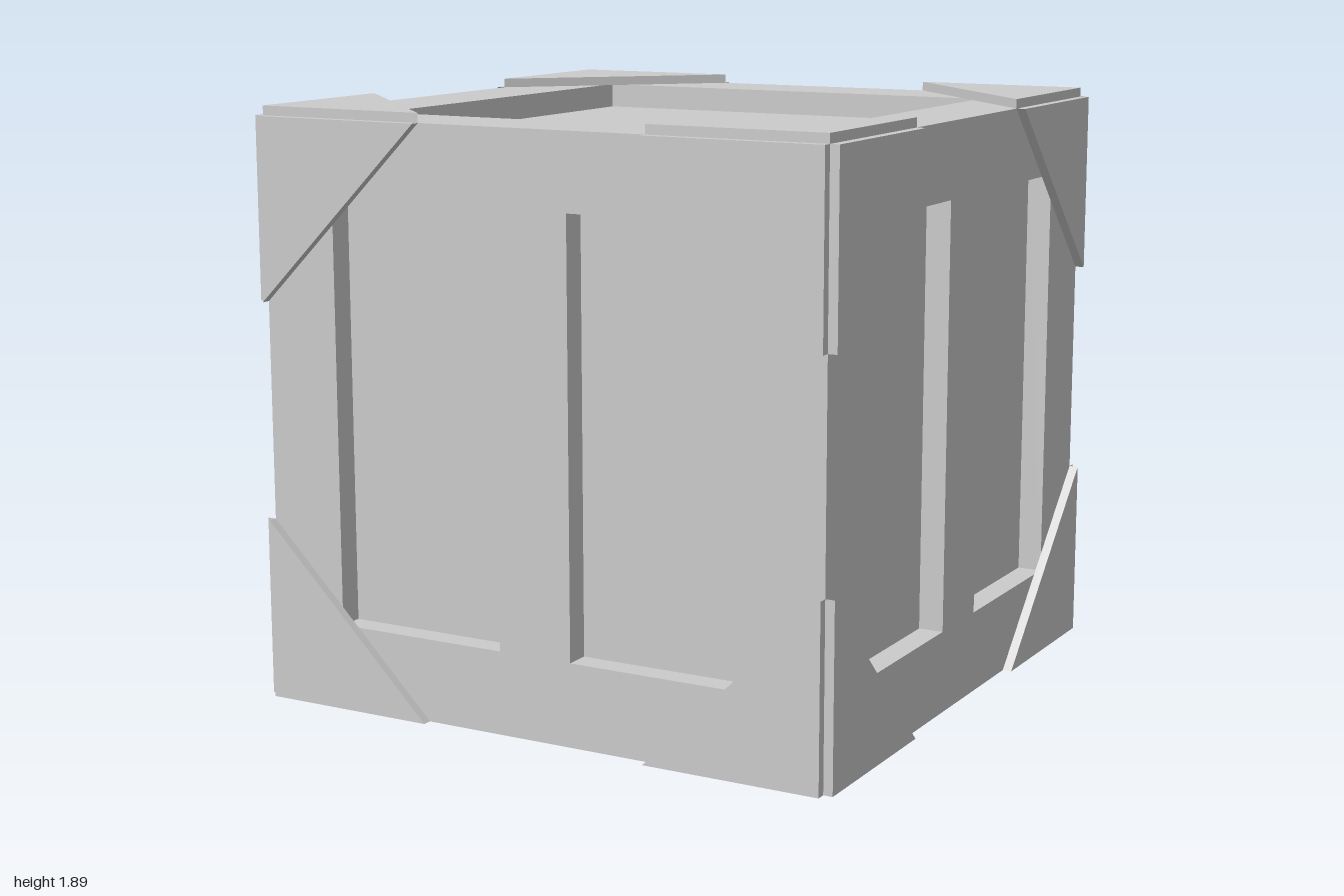
import * as THREE from 'three';

const HALF = 0.97;      // half width of the crate body
const HEIGHT = 1.86;    // body height, without the top plates
const DEPTH = 0.08;     // depth of the sunken panels
const LEG = 0.58;       // short side of a corner plate
const THICK = 0.03;     // thickness of a corner plate

const material = new THREE.MeshStandardMaterial({ color: 0xcccccc, flatShading: true });

function addMesh(parent, name, geometry) {
  const mesh = new THREE.Mesh(geometry, material);
  mesh.name = name;
  parent.add(mesh);
  return mesh;
}

function polygon(points, Type = THREE.Shape) {
  return new Type(points.map(([x, y]) => new THREE.Vector2(x, y)));
}

function rectangle([x0, y0, x1, y1], Type) {
  return polygon([[x0, y0], [x1, y0], [x1, y1], [x0, y1]], Type);
}

// Open tray facing +z: an inside-out box without its front
function trayGeometry([x0, y0, x1, y1]) {
  const g = new THREE.BoxGeometry(x1 - x0, y1 - y0, DEPTH);
  const index = Array.from(g.index.array);
  index.splice(24, 6);
  g.setIndex(index.reverse());
  g.computeVertexNormals();
  return g.translate((x0 + x1) / 2, (y0 + y1) / 2, -DEPTH / 2);
}

// One crate face in the xy plane, with sunken panels and corner plates
function createFace(name, outline, panels) {
  const face = new THREE.Group();
  face.name = name;

  const frame = rectangle(outline);
  panels.forEach((p) => frame.holes.push(rectangle(p, THREE.Path)));
  addMesh(face, 'frame', new THREE.ShapeGeometry(frame));
  panels.forEach((p) => addMesh(face, 'sunkenPanel', trayGeometry(p)));

  const [x0, y0, x1, y1] = outline;
  for (const [x, dx] of [[x0, LEG], [x1, -LEG]]) {
    for (const [y, dy] of [[y0, LEG], [y1, -LEG]]) {
      const triangle = polygon([[x, y], [x + dx, y], [x, y + dy]]);
      addMesh(face, 'cornerPlate',
        new THREE.ExtrudeGeometry(triangle, { depth: THICK, bevelEnabled: false }));
    }
  }
  return face;
}

export function createModel() {
  const crate = new THREE.Group();
  crate.name = 'crate';

  // Four sides, each with two tall panels
  const sidePanels = [[-0.715, 0.265, -0.125, 1.62], [0.125, 0.265, 0.715, 1.62]];
  ['frontSide', 'leftSide', 'backSide', 'rightSide'].forEach((name, i) => {
    const side = createFace(name, [-HALF, 0, HALF, HEIGHT], sidePanels);
    const angle = i * Math.PI / 2;
    side.rotation.y = angle;
    side.position.set(Math.sin(angle) * HALF, 0, Math.cos(angle) * HALF);
    crate.add(side);
  });

  // Lid with one large panel
  const lid = createFace('lid', [-HALF, -HALF, HALF, HALF], [[-0.715, -0.71, 0.715, 0.71]]);
  lid.rotation.x = -Math.PI / 2;
  lid.position.y = HEIGHT;
  crate.add(lid);

  // Plain bottom
  const bottom = addMesh(crate, 'bottom', new THREE.PlaneGeometry(2 * HALF, 2 * HALF));
  bottom.rotation.x = Math.PI / 2;

  return crate;
}
